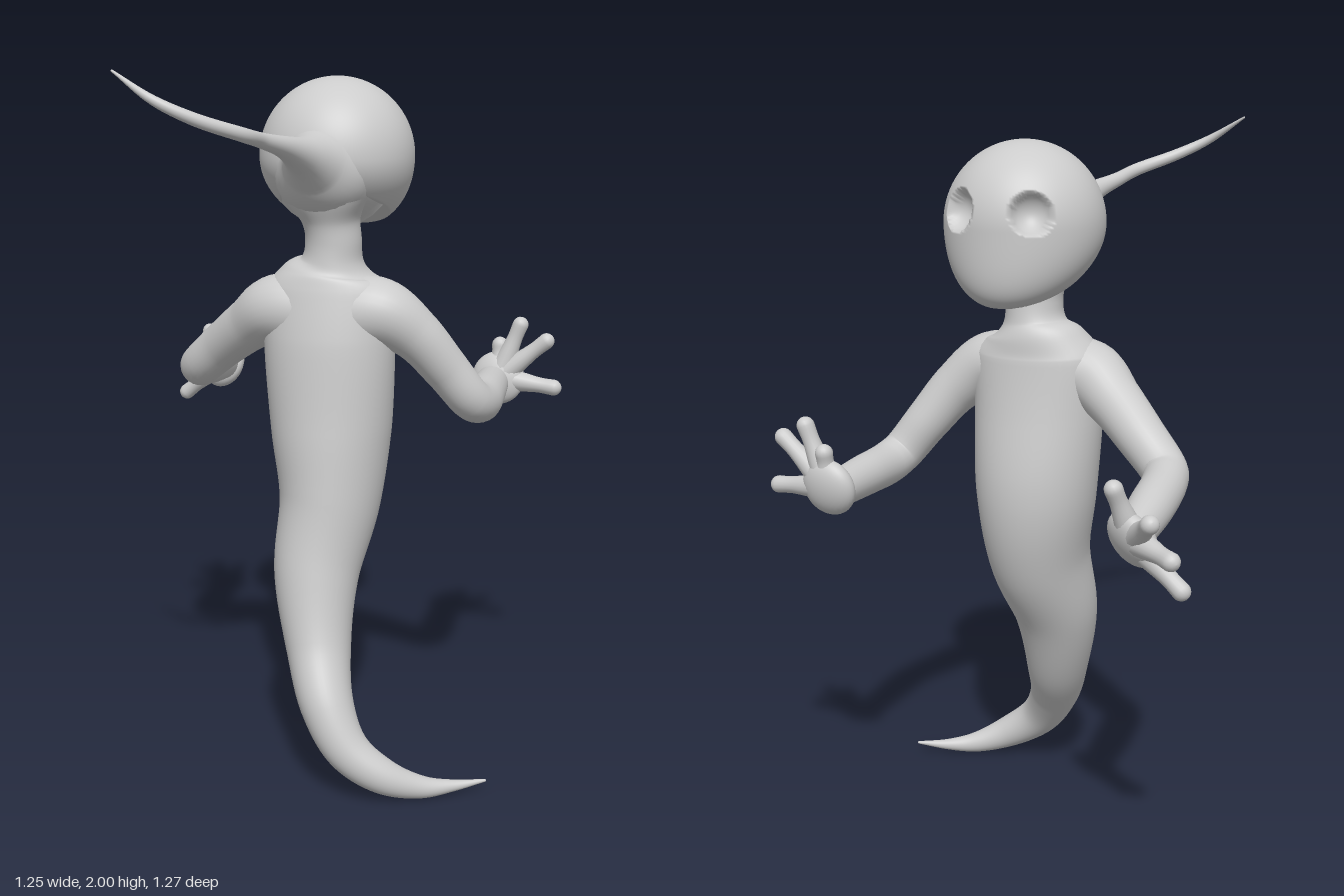
import * as THREE from 'three';
import { mergeVertices } from 'three/addons/utils/BufferGeometryUtils.js';

const material = new THREE.MeshStandardMaterial({ color: 0xcccccc });
const vec = (a) => new THREE.Vector3(a[0], a[1], a[2]);

function addMesh(parent, name, geometry) {
  const mesh = new THREE.Mesh(geometry, material);
  mesh.name = name;
  parent.add(mesh);
  return mesh;
}

// Smooth tapering tube through stations [x, y, z, width radius, depth radius], with a round end
function limb(stations, side = [1, 0, 0], steps = 8, sides = 28) {
  const path = new THREE.CatmullRomCurve3(stations.map(vec));
  const radii = new THREE.CatmullRomCurve3(
    stations.map((s) => new THREE.Vector3(s[3], s[4] ?? s[3], 0)), false, 'catmullrom', 0.5);
  const count = (stations.length - 1) * steps;
  const positions = [], index = [];
  const u = vec(side), v = new THREE.Vector3(), p = new THREE.Vector3();
  let rings = 0;
  const ring = (c, a, b) => {
    for (let j = 0; j < sides; j++) {
      const t = (j / sides) * Math.PI * 2;
      p.copy(c).addScaledVector(u, a * Math.cos(t)).addScaledVector(v, b * Math.sin(t));
      positions.push(p.x, p.y, p.z);
    }
    rings++;
  };
  for (let i = 0; i <= count; i++) {
    const c = path.getPoint(i / count), r = radii.getPoint(i / count);
    const t = path.getTangent(i / count);
    u.addScaledVector(t, -u.dot(t)).normalize();
    v.crossVectors(t, u);
    const a = Math.max(r.x, 0.002), b = Math.max(r.y, 0.002);
    ring(c, a, b);
    if (i === count) {
      for (let k = 1; k <= 6; k++) {
        const q = (k / 6) * Math.PI / 2;
        ring(c.clone().addScaledVector(t, a * Math.sin(q)), a * Math.cos(q), b * Math.cos(q));
      }
    }
  }
  for (let i = 0; i < rings - 1; i++) {
    for (let j = 0; j < sides; j++) {
      const k = (j + 1) % sides;
      const a = i * sides + j, b = i * sides + k;
      index.push(a, b, a + sides, b, b + sides, a + sides);
    }
  }
  const g = new THREE.BufferGeometry();
  g.setAttribute('position', new THREE.Float32BufferAttribute(positions, 3));
  g.setIndex(index);
  g.computeVertexNormals();
  return g;
}

// Round skull with a wedge chin, flat jaw underside and two hollow eye sockets
function headGeometry() {
  const R = 0.216, center = new THREE.Vector3(0.017, 1.755, -0.1);
  const eyes = [-1, 1].map((s) => new THREE.Vector3(s * 0.105, 0.045, -0.18).normalize());
  let g = new THREE.SphereGeometry(1, 180, 130);
  g.deleteAttribute('uv');
  g.deleteAttribute('normal');
  g = mergeVertices(g, 1e-5);
  const pos = g.attributes.position, d = new THREE.Vector3(), p = new THREE.Vector3();
  for (let i = 0; i < pos.count; i++) {
    d.fromBufferAttribute(pos, i).normalize();
    let r = R;
    for (const e of eyes) {
      const k = d.angleTo(e) / 0.26;
      if (k < 1) r -= 0.05 * Math.sqrt(1 - k * k);
    }
    p.copy(d).multiplyScalar(r).add(center);
    if (d.y < 0) p.z -= 0.11 * d.y * d.y;
    p.y = Math.max(p.y, 1.55 + (p.z + 0.26) * 0.37);
    pos.setXYZ(i, p.x, p.y, p.z);
  }
  g.computeVertexNormals();
  return g;
}

// Flat palm with digits fanning out from it
function hand(name, palm, tips) {
  const group = new THREE.Group();
  group.name = name;
  const c = vec(palm);
  const normal = vec(tips[0]).sub(c).cross(vec(tips[3]).sub(c)).normalize();
  const mesh = addMesh(group, 'palm', new THREE.SphereGeometry(1, 32, 24));
  mesh.position.copy(c);
  mesh.scale.set(0.08, 0.08, 0.042);
  mesh.quaternion.setFromUnitVectors(new THREE.Vector3(0, 0, 1), normal);
  tips.forEach((tip, i) => {
    const end = vec(tip), dir = end.clone().sub(c).normalize();
    end.addScaledVector(dir, -0.022);
    const at = (k, r) => [...c.clone().lerp(end, k).toArray(), r];
    const stations = [at(0.15, 0.036), at(0.45, 0.029), at(0.75, 0.023), at(1, 0.024)];
    addMesh(group, i ? 'finger' + i : 'thumb', limb(stations, normal.toArray(), 5, 16));
  });
  return group;
}

export function createModel() {
  const model = new THREE.Group();
  model.name = 'ghost';

  // Neck, torso and curling tail in one sweep
  addMesh(model, 'body', limb([
    [0.02, 1.65, 0.0, 0.12, 0.1],
    [0.025, 1.59, -0.01, 0.082, 0.085],
    [0.03, 1.53, -0.015, 0.078, 0.083],
    [0.027, 1.475, -0.018, 0.088, 0.09],
    [0.022, 1.44, -0.02, 0.14, 0.105],
    [0.02, 1.39, -0.016, 0.185, 0.117],
    [0.02, 1.25, -0.01, 0.187, 0.142],
    [0.025, 1.0, -0.015, 0.172, 0.172],
    [0.03, 0.8, 0.015, 0.144, 0.163],
    [0.01, 0.6, 0.085, 0.122, 0.126],
    [0.035, 0.4, 0.155, 0.092, 0.103],
    [0.082, 0.26, 0.235, 0.075, 0.085],
    [0.15, 0.15, 0.27, 0.062, 0.062],
    [0.25, 0.077, 0.26, 0.05, 0.048],
    [0.35, 0.036, 0.215, 0.032, 0.031],
    [0.43, 0.03, 0.172, 0.017, 0.017],
    [0.515, 0.037, 0.13, 0.004, 0.004],
  ], [1, 0, 0], 8, 40));

  addMesh(model, 'head', headGeometry());

  // Long wisp trailing from the back of the head
  addMesh(model, 'headWisp', limb([
    [0.012, 1.745, -0.04, 0.19],
    [0.01, 1.735, 0.05, 0.135],
    [0.006, 1.752, 0.12, 0.085],
    [0, 1.775, 0.2, 0.05],
    [-0.015, 1.803, 0.3, 0.029],
    [-0.04, 1.825, 0.4, 0.02],
    [-0.06, 1.846, 0.5, 0.018],
    [-0.15, 1.885, 0.585, 0.016],
    [-0.24, 1.93, 0.62, 0.012],
    [-0.352, 1.997, 0.598, 0.003],
  ]));

  // Arms bent at the elbow, reaching forward to -z
  addMesh(model, 'leftArm', limb([
    [0.06, 1.33, -0.01, 0.11],
    [0.17, 1.335, -0.005, 0.095],
    [0.26, 1.275, -0.03, 0.074],
    [0.34, 1.175, -0.07, 0.064],
    [0.405, 1.085, -0.108, 0.06],
    [0.42, 1.062, -0.165, 0.06],
    [0.417, 1.06, -0.3, 0.057],
    [0.41, 1.06, -0.45, 0.05],
  ], [0, 0, 1]));
  addMesh(model, 'rightArm', limb([
    [-0.03, 1.33, -0.005, 0.11],
    [-0.13, 1.335, 0, 0.095],
    [-0.22, 1.28, -0.04, 0.077],
    [-0.32, 1.205, -0.095, 0.068],
    [-0.41, 1.13, -0.145, 0.062],
    [-0.43, 1.115, -0.2, 0.06],
    [-0.447, 1.09, -0.34, 0.059],
    [-0.458, 1.065, -0.48, 0.05],
  ], [0, 0, 1]));

  model.add(hand('leftHand', [0.425, 1.07, -0.468], [
    [0.425, 1.19, -0.49], [0.495, 1.255, -0.475], [0.585, 1.205, -0.46], [0.617, 1.05, -0.45],
  ]));
  model.add(hand('rightHand', [-0.467, 1.06, -0.505], [
    [-0.432, 1.217, -0.567], [-0.562, 1.15, -0.625], [-0.62, 1.052, -0.617], [-0.618, 0.938, -0.525],
  ]));
  return model;
}
